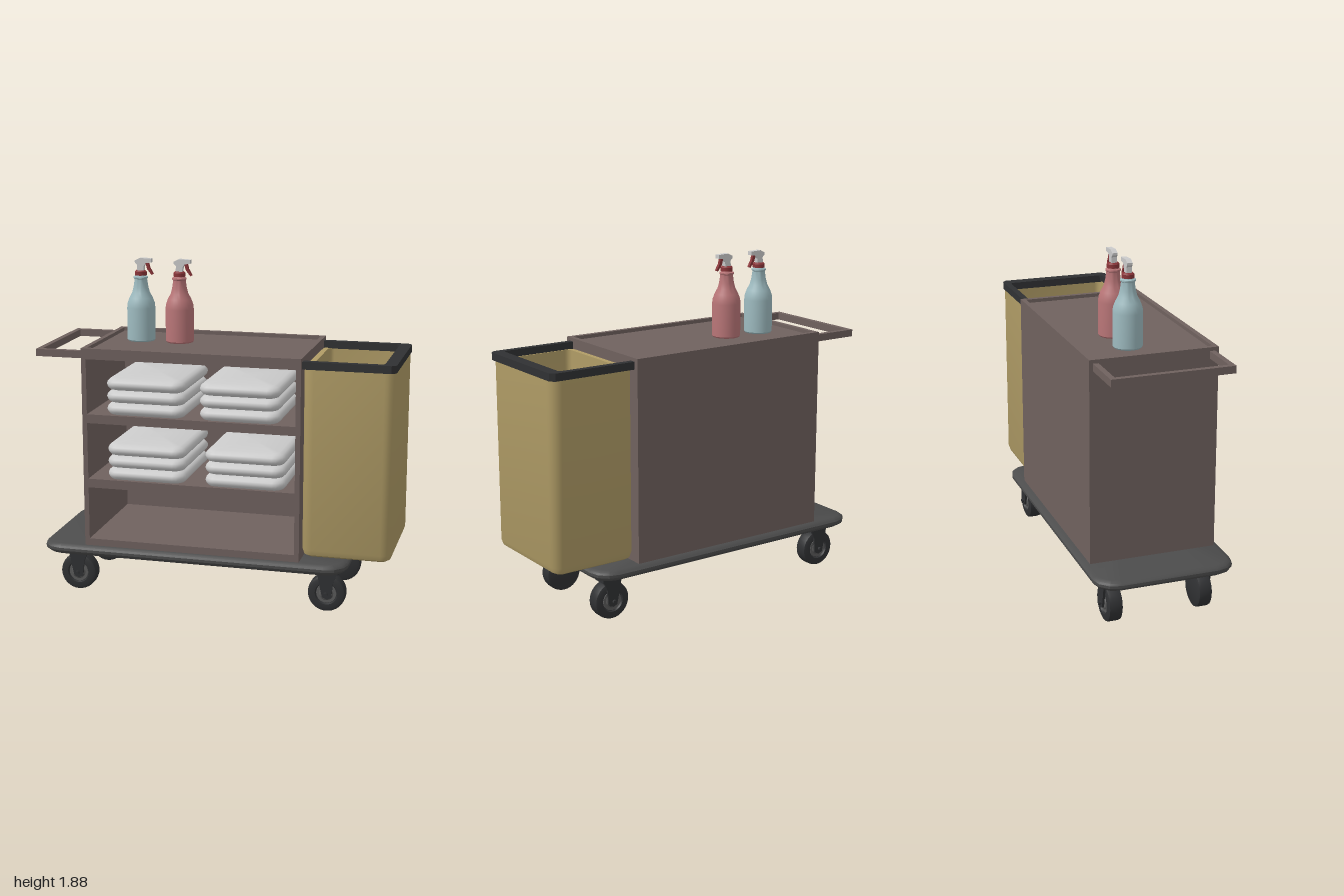
import * as THREE from 'three';
import { toCreasedNormals } from 'three/addons/utils/BufferGeometryUtils.js';

const mat = (color, side = THREE.FrontSide) => new THREE.MeshStandardMaterial({ color, side });
const M = {
  body: mat(0x6f615e), base: mat(0x4c4c4c), dark: mat(0x303133), hub: mat(0x5a5a5a),
  bag: mat(0xb09c66), towel: mat(0xcccccc), blue: mat(0x9dbabf), red: mat(0xb87577),
  trigger: mat(0x8a3438),
};

function add(parent, name, geometry, material, x = 0, y = 0, z = 0) {
  const mesh = new THREE.Mesh(geometry, material);
  mesh.name = name;
  mesh.position.set(x, y, z);
  parent.add(mesh);
  return mesh;
}

// Box given by its minimum and maximum corners
function slab(parent, name, material, [x0, y0, z0], [x1, y1, z1]) {
  return add(parent, name, new THREE.BoxGeometry(x1 - x0, y1 - y0, z1 - z0), material,
    (x0 + x1) / 2, (y0 + y1) / 2, (z0 + z1) / 2);
}

// Stack of rounded rectangles; each section is [height, inset], inset CAP closes to the centre
const CAP = 9;
function loft(w, d, radius, sections, seg = 5, crease = 0.7) {
  const pos = [], idx = [], n = 4 * (seg + 1);
  for (const [y, inset] of sections) {
    for (let c = 0; c < 4; c++) {
      for (let s = 0; s <= seg; s++) {
        const a = (c + s / seg) * Math.PI / 2;
        const r = Math.max(radius - inset, 0.005);
        const sx = c === 0 || c === 3 ? 1 : -1, sz = c < 2 ? 1 : -1;
        const x = sx * (w / 2 - inset - r) + r * Math.cos(a);
        const z = sz * (d / 2 - inset - r) + r * Math.sin(a);
        pos.push(inset === CAP ? 0 : x, y, inset === CAP ? 0 : z);
      }
    }
  }
  for (let i = 0; i < sections.length - 1; i++) {
    for (let j = 0; j < n; j++) {
      const a = i * n + j, b = i * n + (j + 1) % n;
      if (sections[i][1] !== CAP) idx.push(a, a + n, b);
      if (sections[i + 1][1] !== CAP) idx.push(b, a + n, b + n);
    }
  }
  const g = new THREE.BufferGeometry();
  g.setAttribute('position', new THREE.Float32BufferAttribute(pos, 3));
  g.setIndex(idx);
  return toCreasedNormals(g, crease);
}

// Flat outline in x, y with thickness centred on z
function plate(points, depth) {
  const shape = new THREE.Shape(points.map(p => new THREE.Vector2(...p)));
  const g = new THREE.ExtrudeGeometry(shape, { depth, bevelEnabled: false });
  return g.translate(0, 0, -depth / 2);
}

const lathe = (points, seg = 32) => toCreasedNormals(
  new THREE.LatheGeometry(points.map(p => new THREE.Vector2(...p)), seg), 0.6);

function caster(x, z, side) {
  const g = new THREE.Group();
  g.name = 'caster';
  // Tyre with a recessed hub on its outer face
  const tyre = lathe([[0, -0.04], [0.09, -0.04], [0.102, -0.034], [0.105, -0.02], [0.105, 0.02],
    [0.102, 0.034], [0.09, 0.04], [0.063, 0.04], [0.058, 0.03], [0, 0.03]]);
  add(g, 'tyre', tyre.rotateX(Math.PI / 2), M.dark);
  const hub = lathe([[0.057, 0.029], [0.055, 0.034], [0.04, 0.034], [0.034, 0.04], [0, 0.04]]);
  add(g, 'hub', hub.rotateX(Math.PI / 2), M.hub);
  // One-sided fork, swivel and axle
  add(g, 'fork', plate([[-0.05, 0.13], [-0.04, 0.07], [-0.02, -0.02], [0.005, -0.03],
    [0.03, -0.02], [0.04, 0.07], [0.065, 0.13]], 0.012), M.dark, 0, 0, 0.046);
  slab(g, 'swivelPlate', M.dark, [-0.05, 0.113, -0.03], [0.065, 0.135, 0.052]);
  add(g, 'axle', new THREE.CylinderGeometry(0.011, 0.011, 0.03, 12).rotateX(Math.PI / 2),
    M.dark, 0, 0, 0.05);
  g.position.set(x, 0.105, z);
  g.scale.z = side;
  return g;
}

function sprayBottle(x, material) {
  const g = new THREE.Group();
  g.name = 'sprayBottle';
  add(g, 'bottle', lathe([[0, 0], [0.074, 0], [0.08, 0.008], [0.08, 0.19], [0.077, 0.215],
    [0.066, 0.245], [0.05, 0.275], [0.042, 0.305], [0.036, 0.345], [0.036, 0.352],
    [0.041, 0.356], [0.041, 0.364], [0.032, 0.368], [0.03, 0.375], [0, 0.375]]), material);
  add(g, 'collar', lathe([[0, 0.372], [0.034, 0.372], [0.034, 0.392], [0.026, 0.4], [0, 0.4]], 20), M.trigger);
  add(g, 'sprayHead', plate([[-0.018, 0.398], [0.02, 0.398], [0.022, 0.425], [0.034, 0.442],
    [0.066, 0.446], [0.066, 0.467], [0.0, 0.47], [-0.03, 0.455], [-0.03, 0.443], [-0.016, 0.43]], 0.03), M.towel);
  add(g, 'trigger', plate([[0.03, 0.445], [0.047, 0.447], [0.055, 0.415], [0.075, 0.38],
    [0.066, 0.375], [0.04, 0.408]], 0.018), M.trigger);
  g.position.set(x, 1.41, -0.07);
  return g;
}

export function createModel() {
  const model = new THREE.Group();
  model.name = 'housekeepingCart';

  // Platform with cut corners and a softened edge
  add(model, 'platform', loft(1.75, 0.78, 0.12, [[0.24, CAP], [0.24, 0.03], [0.255, 0.006],
    [0.265, 0], [0.28, 0], [0.29, 0.008], [0.3, 0.03], [0.3, CAP]], 3, 0.5), M.base, -0.115, 0, 0);
  for (const x of [-0.805, 0.64]) {
    model.add(caster(x, 0.238, 1), caster(x, -0.27, -1));
  }

  // Open-fronted cabinet
  const cabinet = new THREE.Group();
  cabinet.name = 'cabinet';
  model.add(cabinet);
  const L = -0.73, R = 0.5, Z = 0.355, T = 0.027;
  slab(cabinet, 'rightPanel', M.body, [L, 0.3, -Z], [L + T, 1.43, Z]);
  slab(cabinet, 'leftPanel', M.body, [R - T, 0.3, -Z], [R, 1.43, Z]);
  slab(cabinet, 'backPanel', M.body, [L + T, 0.3, -Z], [R - T, 1.43, T - Z]);
  slab(cabinet, 'topFrontLip', M.body, [L + T, 1.37, Z - T], [R - T, 1.43, Z]);
  slab(cabinet, 'topDeck', M.body, [L + T, 1.37, T - Z], [R - T, 1.41, Z - T]);
  for (const [y0, y1] of [[0.3, 0.34], [0.64, 0.69], [1.01, 1.06]]) {
    slab(cabinet, 'shelf', M.body, [L + T, y0, T - Z], [R - T, y1, Z]);
  }

  // Push handle
  const handle = new THREE.Group();
  handle.name = 'pushHandle';
  model.add(handle);
  slab(handle, 'handleGrip', M.body, [-1, 1.37, -0.335], [-0.97, 1.41, 0.335]);
  for (const z of [-0.335, 0.305]) {
    slab(handle, 'handleArm', M.body, [-0.97, 1.37, z], [L, 1.41, z + 0.03]);
  }

  // Folded towels, three to a stack
  const towel = loft(0.455, 0.57, 0.07, [[0, CAP], [0, 0.04], [0.007, 0.018], [0.02, 0.005], [0.035, 0],
    [0.05, 0.005], [0.063, 0.018], [0.07, 0.04], [0.07, CAP]], 5, 1);
  for (const [x, y] of [[-0.37, 1.06], [0.16, 1.06], [-0.37, 0.69], [0.19, 0.69]]) {
    for (let i = 0; i < 3; i++) add(model, 'towel', towel, M.towel, x, y + i * 0.07, 0.085);
  }

  // Open laundry bag: outer wall, top edge, inner wall and floor
  add(model, 'laundryBag', loft(0.497, 0.64, 0.06, [[0.31, CAP], [0.31, 0.07], [0.316, 0.035], [0.33, 0.01],
    [0.36, 0], [1.372, 0], [1.372, 0.03], [0.4, 0.036], [0.36, 0.05], [0.345, 0.08], [0.345, CAP]]),
  M.bag, 0.749, 0, -0.005);

  // Three-sided frame that holds the bag
  const outline = [[0.5, -0.327], [0.975, -0.327], [1, -0.305], [1, 0.305], [0.975, 0.327], [0.5, 0.327],
    [0.5, 0.292], [0.92, 0.292], [0.935, 0.28], [0.935, -0.28], [0.92, -0.292], [0.5, -0.292]];
  add(model, 'bagFrame', plate(outline, 0.042).rotateX(-Math.PI / 2), M.dark, 0, 1.39, 0);

  model.add(sprayBottle(-0.515, M.blue), sprayBottle(-0.288, M.red));
  return model;
}
